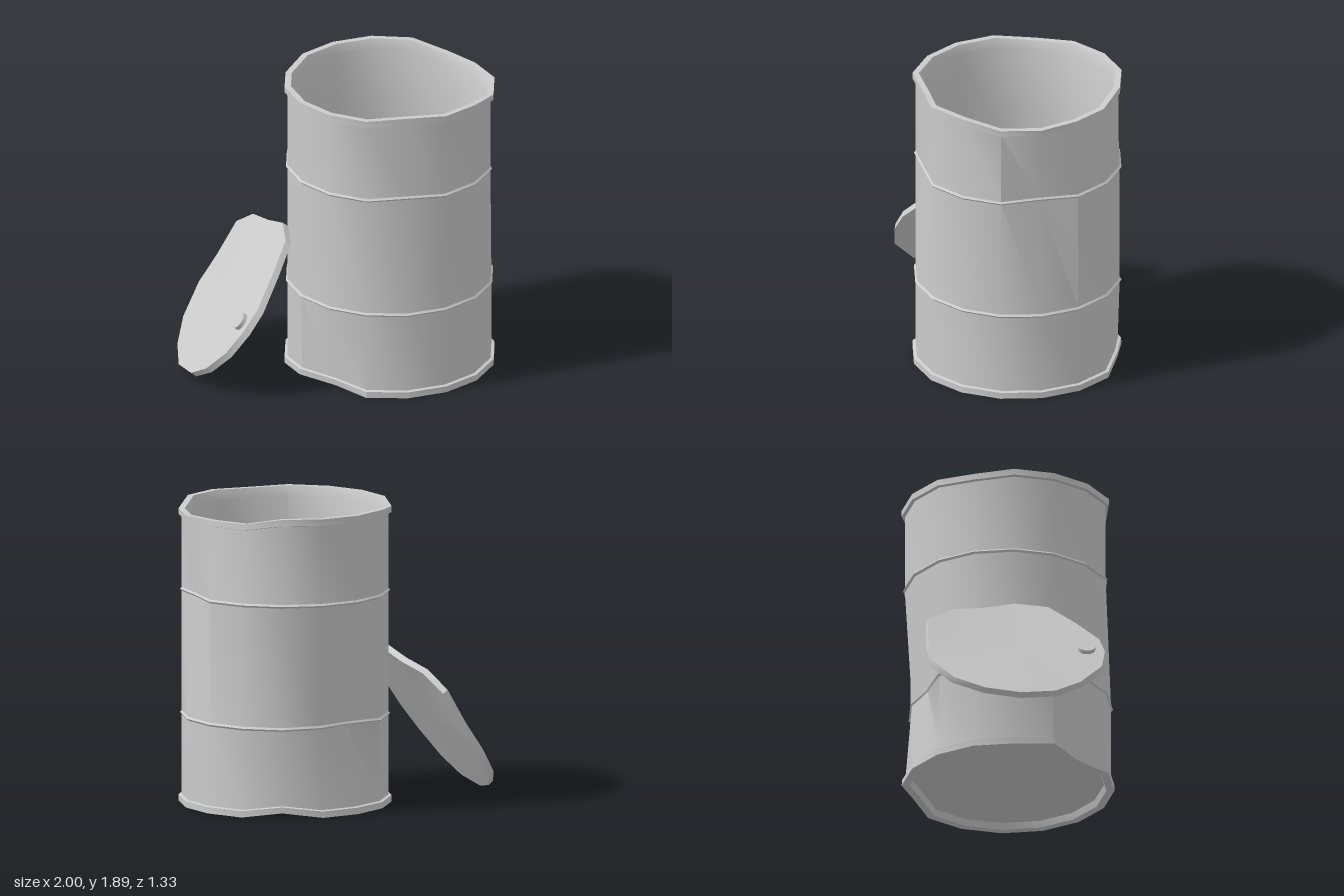
import * as THREE from 'three';
import { toCreasedNormals } from 'three/addons/utils/BufferGeometryUtils.js';

const SIDES = 16;

// Dents: per height, side index -> [relative radius change, height change].
// Side 0 faces +x, side 4 faces +z (front), 8 faces -x, 12 faces back.
const DENTS = [
  { y: 0, at: { 6: [-0.12, 0.01], 7: [0, 0.03], 13: [-0.05, 0.03] } },
  { y: 0.56, at: { 11: [-0.14, 0], 12: [-0.07, 0] } },
  { y: 1.34, at: { 0: [-0.09, 0], 4: [-0.075, 0] } },
  { y: 1.89, at: { 0: [0, -0.04], 1: [0, -0.04], 4: [-0.08, 0], 9: [0, -0.02],
    13: [-0.03, 0], 14: [-0.05, -0.04], 15: [-0.05, -0.04] } },
];

// Dent of one side at height y, blended between the listed heights
function dentAt(side, y) {
  let i = 0;
  while (i < DENTS.length - 2 && y > DENTS[i + 1].y) i++;
  const a = DENTS[i], b = DENTS[i + 1];
  const t = THREE.MathUtils.clamp((y - a.y) / (b.y - a.y), 0, 1);
  const p = a.at[side] || [0, 0], q = b.at[side] || [0, 0];
  return [p[0] + (q[0] - p[0]) * t, p[1] + (q[1] - p[1]) * t];
}

// Small raised hoop in the wall profile
const rib = (y) => [[0.645, y - 0.012], [0.656, y], [0.645, y + 0.012]];

function barrelGeometry() {
  const profile = [
    [0, 0.04], [0.6, 0.04], [0.615, 0], [0.665, 0], [0.665, 0.04], [0.645, 0.045],
    ...rib(0.56), ...rib(1.34),
    [0.645, 1.845], [0.665, 1.85], [0.665, 1.89], [0.625, 1.89], [0.605, 1.83],
    [0.608, 1.34], [0.608, 0.56], [0.6, 0.07], [0, 0.07],
  ].map(([r, y]) => new THREE.Vector2(r, y));
  const geo = new THREE.LatheGeometry(profile, SIDES);
  const pos = geo.attributes.position;
  for (let i = 0; i < pos.count; i++) {
    const x = pos.getX(i), y = pos.getY(i), z = pos.getZ(i);
    const side = (Math.round(Math.atan2(z, x) / (2 * Math.PI) * SIDES) + SIDES) % SIDES;
    const [dr, dy] = dentAt(side, y);
    const rise = Math.hypot(x, z) > 0.1 ? dy : 0;
    pos.setXYZ(i, x * (1 + dr), y + rise, z * (1 + dr));
  }
  return toCreasedNormals(geo, 0.6);
}

// Bent lid: rim points [x, z, lift above the leaning plane]
function lidGeometry() {
  const rim = [
    [-1, 0, 0], [-0.97, -0.22, 0], [-0.9, -0.41, 0], [-0.78, -0.54, 0],
    [-0.66, -0.555, 0.01], [-0.54, -0.55, 0.06], [-0.46, -0.4, 0.06], [-0.4, -0.2, 0.02],
    [-0.34, 0, 0], [-0.36, 0.21, 0], [-0.47, 0.37, 0], [-0.59, 0.515, 0],
    [-0.68, 0.545, 0], [-0.79, 0.52, 0], [-0.89, 0.38, -0.02], [-0.96, 0.22, -0.02],
  ];
  const plane = (x) => 0.04 + (x + 1) * 1.39;
  const top = rim.map(([x, z, lift]) => new THREE.Vector3(x, plane(x) + lift, z));
  const under = (v) => new THREE.Vector3(v.x + 0.033, v.y - 0.024, v.z * 1.025);
  const bottom = top.map(under);
  const centre = new THREE.Vector3(-0.66, plane(-0.66), 0);
  const low = under(centre);
  const tris = [];
  top.forEach((a, i) => {
    const j = (i + 1) % top.length;
    const b = top[j], c = bottom[i], d = bottom[j];
    tris.push(centre, b, a, low, c, d, a, b, d, a, d, c);
  });
  const geo = new THREE.BufferGeometry().setFromPoints(tris);
  return toCreasedNormals(geo, 0.6);
}

export function createModel() {
  const group = new THREE.Group();
  const material = new THREE.MeshStandardMaterial({ color: 0xcccccc });
  const add = (name, geo) => {
    const mesh = new THREE.Mesh(geo, material);
    mesh.name = name;
    group.add(mesh);
    return mesh;
  };

  // Open dented drum
  add('barrel', barrelGeometry()).position.x = 0.335;

  // Lid leaning against the drum, with its filler cap
  add('lid', lidGeometry());
  const cap = add('lidCap', toCreasedNormals(new THREE.CylinderGeometry(0.055, 0.055, 0.05, 10), 0.7));
  cap.position.set(-0.675, 0.495, 0.43);
  cap.quaternion.setFromUnitVectors(
    new THREE.Vector3(0, 1, 0), new THREE.Vector3(-0.81, 0.585, 0).normalize());

  return group;
}
